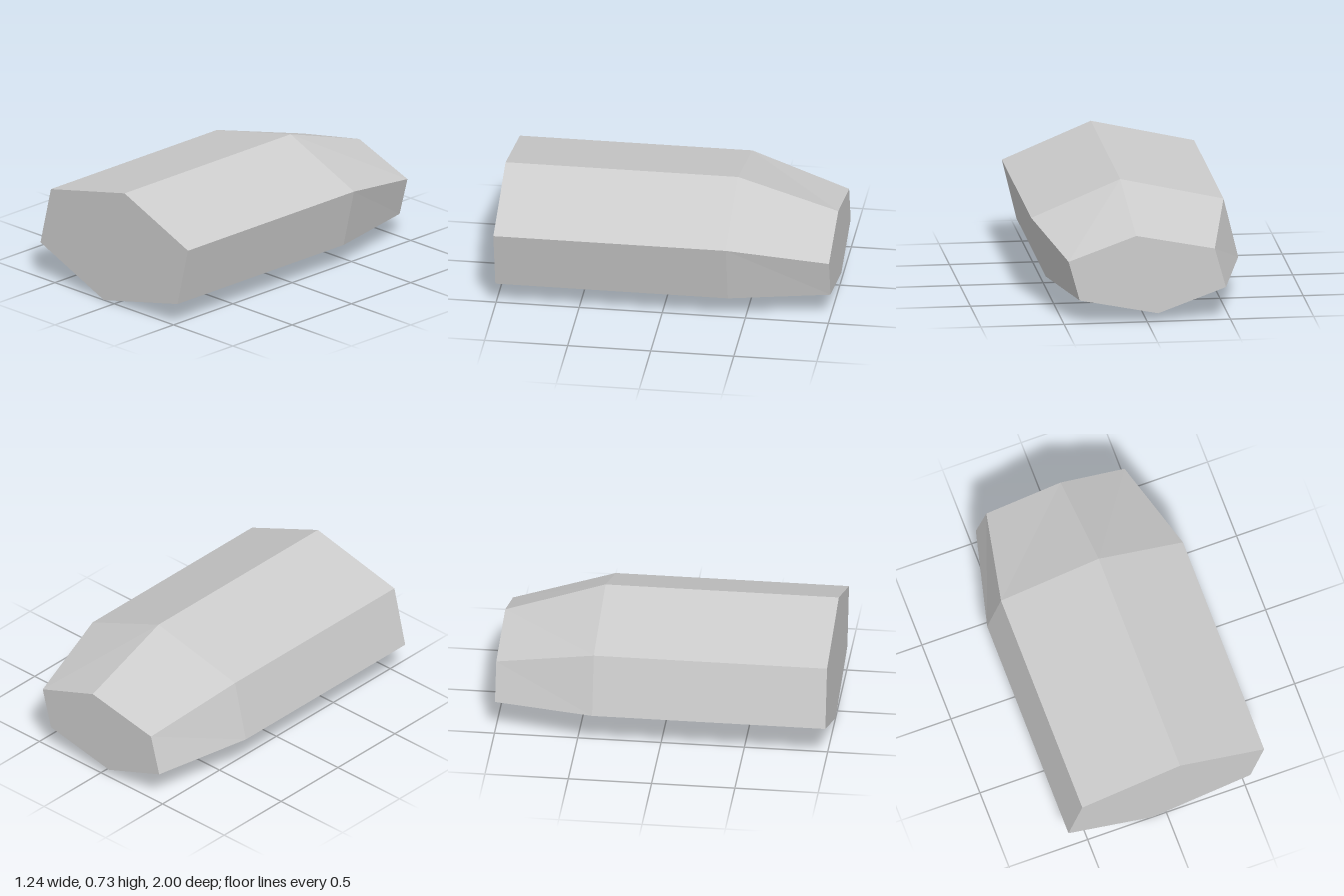
import * as THREE from 'three';

// Six-sided cross-section, clockwise as seen from the front
const SECTION = [[0.087, 0.728], [0.622, 0.506], [0.534, 0.142], [-0.087, 0], [-0.622, 0.225], [-0.534, 0.588]];

// Stations along the length: z, width scale, height scale, lift
const STATIONS = [
  [1, 1, 1, 0],
  [-0.4, 1, 1, 0],
  [-1, 0.76, 0.66, 0.05],
];

function loftGeometry() {
  const rings = STATIONS.map(([z, sx, sy, lift]) => SECTION.map(([x, y]) => [x * sx, y * sy + lift, z]));
  const n = SECTION.length;
  const positions = [];
  const triangle = (a, b, c) => positions.push(...a, ...b, ...c);

  // Side facets between neighbouring rings
  for (let r = 0; r < rings.length - 1; r++) {
    const front = rings[r], back = rings[r + 1];
    for (let i = 0; i < n; i++) {
      const j = (i + 1) % n;
      triangle(front[i], front[j], back[j]);
      triangle(front[i], back[j], back[i]);
    }
  }

  // Flat end faces
  const first = rings[0], last = rings[rings.length - 1];
  for (let i = 1; i < n - 1; i++) {
    triangle(first[0], first[i + 1], first[i]);
    triangle(last[0], last[i], last[i + 1]);
  }

  const geometry = new THREE.BufferGeometry();
  geometry.setAttribute('position', new THREE.Float32BufferAttribute(positions, 3));
  geometry.computeVertexNormals();
  return geometry;
}

export function createModel() {
  const lightGrey = new THREE.MeshStandardMaterial({ color: 0xcccccc });
  lightGrey.name = 'lightGrey';

  // Faceted block, straight in front and tapered at the back
  const block = new THREE.Mesh(loftGeometry(), lightGrey);
  block.name = 'taperedBlock';

  const model = new THREE.Group();
  model.name = 'facetedBlock';
  model.add(block);
  return model;
}
